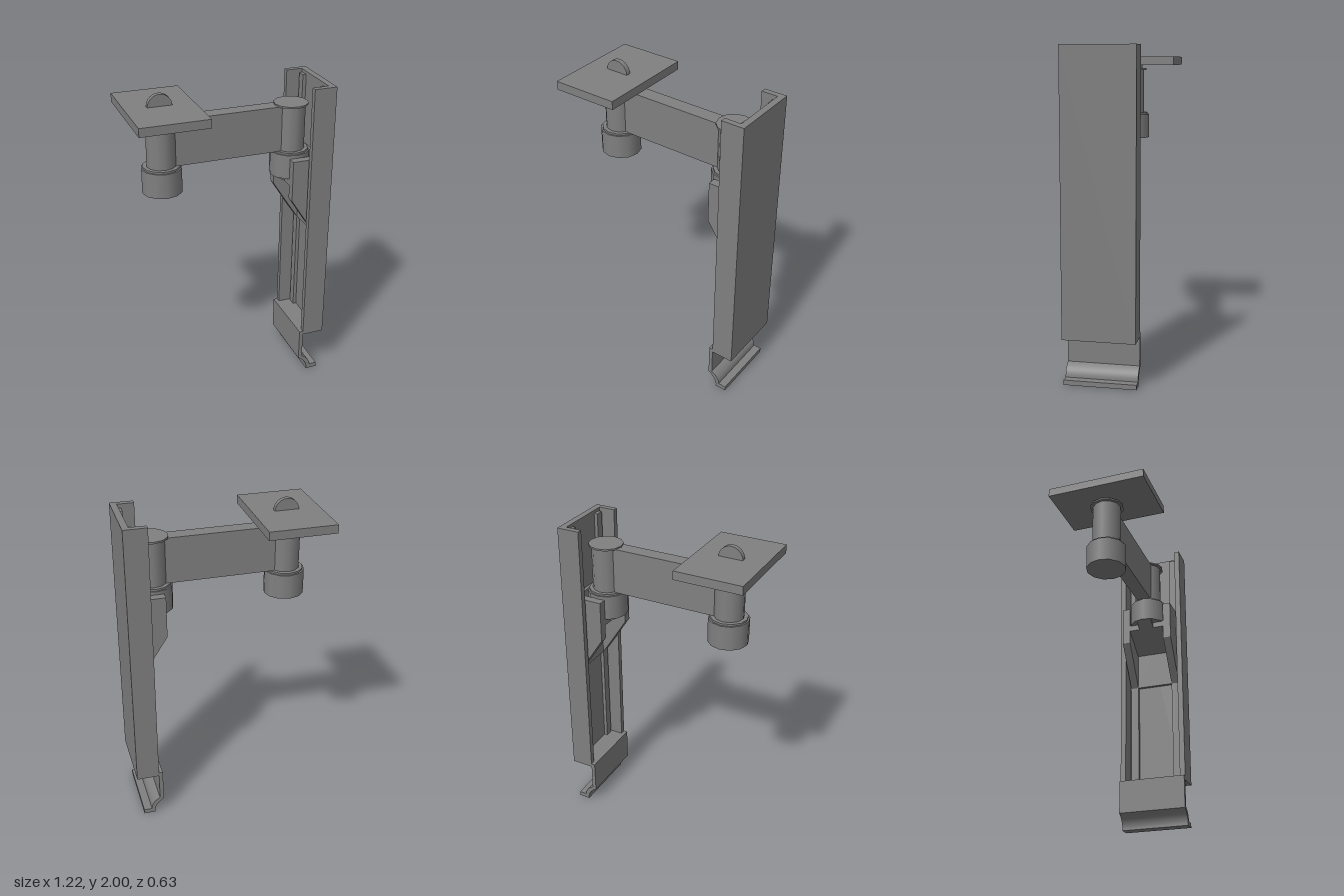
import * as THREE from 'three';
import { toCreasedNormals } from 'three/addons/utils/BufferGeometryUtils.js';

const material = new THREE.MeshStandardMaterial({ color: 0x808080, side: THREE.DoubleSide });

export function createModel() {
  const model = new THREE.Group();
  model.name = 'wallMountArm';

  const add = (name, geometry) => {
    const mesh = new THREE.Mesh(geometry, material);
    mesh.name = name;
    model.add(mesh);
  };

  // box given by its limits on each axis
  const box = (name, x0, x1, y0, y1, z0, z1) =>
    add(name, new THREE.BoxGeometry(x1 - x0, y1 - y0, z1 - z0)
      .translate((x0 + x1) / 2, (y0 + y1) / 2, (z0 + z1) / 2));

  // upright cylinder between two heights
  const post = (name, x, radius, y0, y1) =>
    add(name, new THREE.CylinderGeometry(radius, radius, y1 - y0, 12).translate(x, (y0 + y1) / 2, 0));

  const polygon = (points) => new THREE.Shape(points.map(([x, y]) => new THREE.Vector2(x, y)));

  // side outline (x, y) extruded from z0 to z1
  const extrudeSide = (shape, z0, z1) =>
    new THREE.ExtrudeGeometry(shape, { depth: z1 - z0, bevelEnabled: false, curveSegments: 8 }).translate(0, 0, z0);

  // outline in plan extruded upwards from y0 to y1
  const extrudeUp = (shape, y0, y1) =>
    new THREE.ExtrudeGeometry(shape, { depth: y1 - y0, bevelEnabled: false }).rotateX(-Math.PI / 2).translate(0, y0, 0);

  // wall channel, open towards the arm
  add('wallChannel', extrudeUp(polygon([
    [0.47, -0.22], [0.612, -0.22], [0.612, 0.22], [0.47, 0.22],
    [0.47, 0.185], [0.572, 0.185], [0.572, -0.185], [0.47, -0.185],
  ]), 0.288, 1.99));

  // channel floor and the bent clip hanging below it
  box('channelFloor', 0.46, 0.572, 0.303, 0.312, -0.185, 0.185);
  const clip = new THREE.Shape();
  clip.moveTo(0.445, 0.312);
  clip.lineTo(0.47, 0.312);
  clip.lineTo(0.47, 0.11);
  clip.quadraticCurveTo(0.527, 0.082, 0.527, 0.03);
  clip.lineTo(0.578, 0.03);
  clip.lineTo(0.578, 0);
  clip.lineTo(0.505, 0);
  clip.quadraticCurveTo(0.512, 0.06, 0.445, 0.1);
  add('bottomClip', toCreasedNormals(extrudeSide(clip, -0.22, 0.22), 0.5));

  // bracket: back plate, slim rails and a cheek on both sides of the pivot
  box('bracketBack', 0.55, 0.572, 1, 1.53, -0.12, 0.12);
  for (const side of [-1, 1]) {
    const z = side * 0.146;
    box('rail', 0.55, 0.572, 0.31, 1.97, z - 0.026, z + 0.026);
    add('bracketCheek', extrudeSide(
      polygon([[0.373, 1.53], [0.56, 1.53], [0.56, 0.985], [0.47, 1.12], [0.373, 1.27]]), z - 0.026, z + 0.026));
  }

  // wedge under the pivot, with a narrow nose and a wide back
  add('supportNose', extrudeSide(polygon([[0.31, 1.4], [0.38, 1.4], [0.38, 1.353]]), -0.05, 0.05));
  add('supportWedge', extrudeSide(polygon([[0.373, 1.4], [0.55, 1.4], [0.55, 1.24], [0.373, 1.358]]), -0.12, 0.12));

  // swinging arm with a pivot at each end
  box('arm', -0.405, 0.42, 1.56, 1.845, -0.047, 0.047);
  for (const x of [-0.405, 0.42]) {
    post('pivotPost', x, 0.09, 1.56, 1.845);
    post('pivotCap', x, 0.107, 1.842, 1.853);
    post('pivotCollar', x, 0.114, 1.545, 1.562);
    post('pivotBase', x, 0.124, 1.396, 1.55);
  }

  // top plate with a half-disc tab
  post('plateNeck', -0.405, 0.078, 1.85, 1.88);
  box('topPlate', -0.612, -0.196, 1.875, 1.928, -0.314, 0.314);
  add('plateTab', new THREE.CylinderGeometry(0.075, 0.075, 0.03, 32)
    .rotateX(Math.PI / 2).translate(-0.405, 1.925, 0));

  return model;
}
